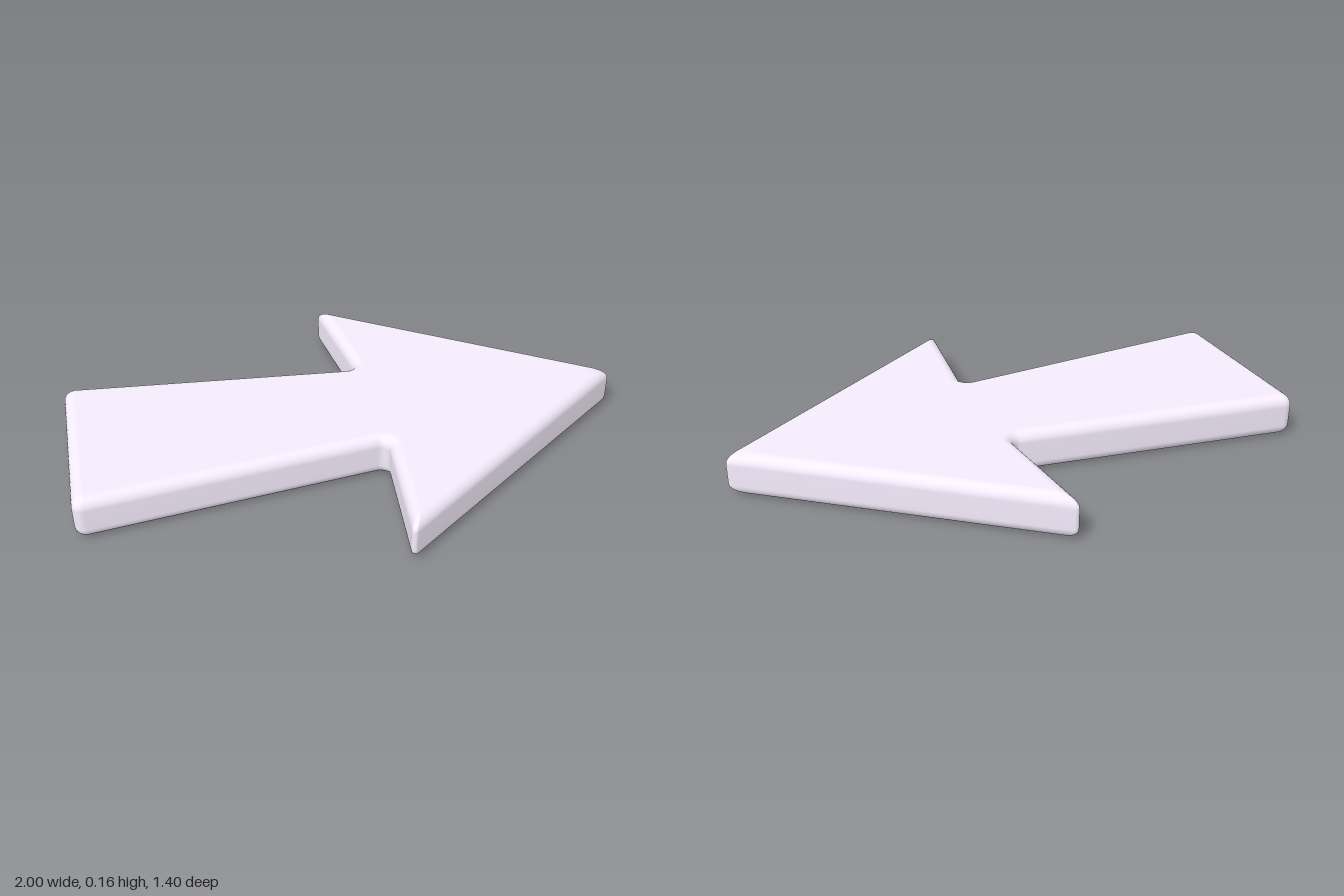
import * as THREE from 'three';

const HEIGHT = 0.155;
const BEVEL = 0.04;      // size of the rounded rim
const RIM_STEPS = 7;
const ARC_STEPS = 8;

// Sharp arrow outline, counter-clockwise seen from above:
// x, -z, corner radius on the side wall, corner radius on the flat faces
const CORNERS = [
  [1.015, 0, 0.02, 0.05],
  [0.029, 0.713, 0.012, 0.002], [0.079, 0.235, 0.03, 0.07], [-1, 0.353, 0.035, 0.01],
  [-1, -0.353, 0.035, 0.01], [0.079, -0.235, 0.03, 0.07], [0.029, -0.713, 0.012, 0.002],
];

// Outline moved inwards by d, with every corner rounded
function insetOutline(d) {
  const n = CORNERS.length;
  const pts = CORNERS.map(([x, y]) => new THREE.Vector2(x, y));
  const normals = pts.map((p, i) => {
    const e = pts[(i + 1) % n].clone().sub(p).normalize();
    return new THREE.Vector2(-e.y, e.x);
  });
  const out = [];
  pts.forEach((p, i) => {
    const n1 = normals[(i + n - 1) % n], n2 = normals[i];
    const side = Math.sign(n1.cross(n2)); // +1 convex, -1 notch
    const radius = THREE.MathUtils.lerp(CORNERS[i][2], CORNERS[i][3], d / BEVEL);
    const mitre = n1.clone().add(n2).divideScalar(1 + n1.dot(n2));
    const centre = p.clone().addScaledVector(mitre, d + side * radius);
    const start = n1.angle();
    const turn = side * Math.acos(n1.dot(n2));
    for (let k = 0; k <= ARC_STEPS; k++) {
      const a = start + turn * k / ARC_STEPS;
      out.push(new THREE.Vector2(
        centre.x - side * radius * Math.cos(a),
        centre.y - side * radius * Math.sin(a)));
    }
  });
  return out;
}

function arrowGeometry() {
  // Rim profile as [inset, height], from the bottom face to the top face
  const rim = [];
  for (let k = 0; k <= RIM_STEPS; k++) {
    const a = k / RIM_STEPS * Math.PI / 2;
    rim.push([BEVEL * (1 - Math.sin(a)), BEVEL * (1 - Math.cos(a))]);
  }
  const levels = [...rim, ...rim.map(([d, y]) => [d, HEIGHT - y]).reverse()];

  const positions = [], index = [];
  for (const [d, y] of levels) {
    for (const p of insetOutline(d)) positions.push(p.x, y, -p.y);
  }

  // Walls and rounded rims
  const count = CORNERS.length * (ARC_STEPS + 1);
  for (let l = 0; l < levels.length - 1; l++) {
    for (let i = 0; i < count; i++) {
      const j = (i + 1) % count;
      const a = l * count + i, b = l * count + j;
      index.push(a, b, b + count, a, b + count, a + count);
    }
  }

  // Flat bottom and top faces
  const top = (levels.length - 1) * count;
  for (const [a, b, c] of THREE.ShapeUtils.triangulateShape(insetOutline(BEVEL), [])) {
    index.push(top + a, top + b, top + c, c, b, a);
  }

  const geometry = new THREE.BufferGeometry();
  geometry.setAttribute('position', new THREE.Float32BufferAttribute(positions, 3));
  geometry.setIndex(index);
  geometry.computeVertexNormals();
  return geometry;
}

export function createModel() {
  const group = new THREE.Group();
  group.name = 'arrowModel';
  const arrow = new THREE.Mesh(arrowGeometry(), new THREE.MeshStandardMaterial({ color: 0xf5ecfc }));
  arrow.name = 'arrow';
  group.add(arrow);
  return group;
}
